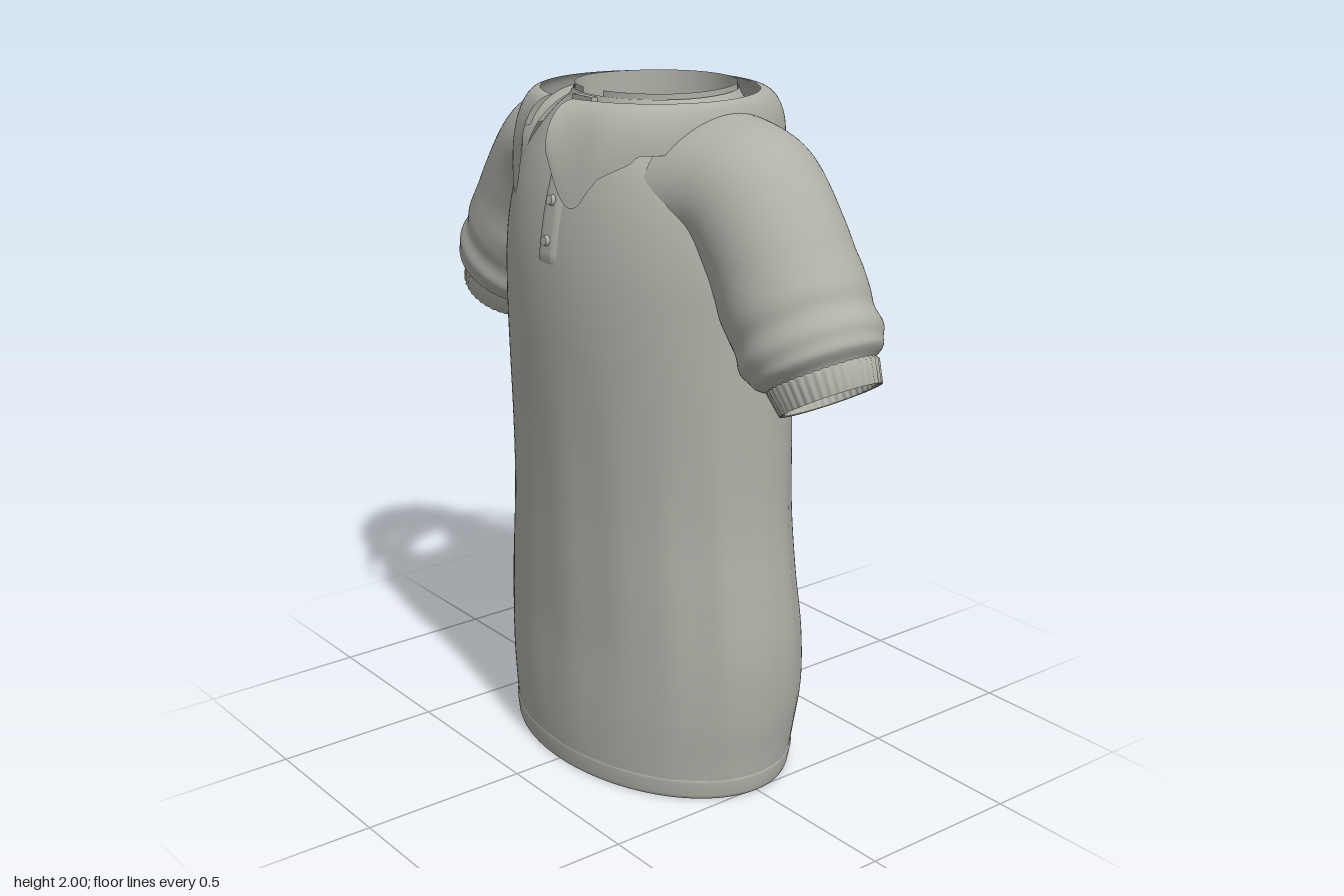
import * as THREE from 'three';

const cloth = new THREE.MeshStandardMaterial({ color: 0xb0b0a8, side: THREE.DoubleSide });
cloth.name = 'greyCloth';

// Smooth surface from a grid of points; keep() can leave out cells to make openings
function grid(name, rows, cols, closed, fn, keep = () => true) {
  const w = closed ? cols : cols + 1, pos = [], idx = [];
  for (let i = 0; i <= rows; i++) for (let j = 0; j < w; j++) pos.push(...fn(i / rows, j / cols));
  const at = k => new THREE.Vector3().fromArray(pos, k * 3);
  for (let i = 0; i < rows; i++) for (let j = 0; j < cols; j++) {
    const k = (j + 1) % w;
    const a = i * w + j, b = i * w + k, c = a + w, d = b + w;
    const mid = at(a).add(at(b)).add(at(c)).add(at(d)).multiplyScalar(0.25);
    if (keep(mid)) idx.push(a, b, d, a, d, c);
  }
  const g = new THREE.BufferGeometry();
  g.setAttribute('position', new THREE.Float32BufferAttribute(pos, 3));
  g.setIndex(idx);
  g.computeVertexNormals();
  const mesh = new THREE.Mesh(g, cloth);
  mesh.name = name;
  return mesh;
}

// Smooth interpolation through rows of numbers, u in 0..1
function spline(rows) {
  const n = rows.length - 1;
  return u => {
    const f = Math.min(Math.max(u, 0), 1) * n, i = Math.min(Math.floor(f), n - 1), t = f - i;
    const r = k => rows[Math.min(Math.max(k, 0), n)];
    return rows[0].map((_, c) => {
      const [p, q, s, v] = [r(i - 1)[c], r(i)[c], r(i + 1)[c], r(i + 2)[c]];
      return q + 0.5 * t * (s - p + t * (2 * p - 5 * q + 4 * s - v + t * (3 * (q - s) + v - p)));
    });
  };
}

// Piecewise linear lookup in [x, y] pairs
function lookup(table, x) {
  if (x <= table[0][0]) return table[0][1];
  for (let i = 1; i < table.length; i++) {
    const [x0, y0] = table[i - 1], [x1, y1] = table[i];
    if (x <= x1) return y0 + (y1 - y0) * (x - x0) / (x1 - x0);
  }
  return table[table.length - 1][1];
}

// Torso sections: height, half width, front depth, back depth
const torso = spline([
  [0.01, 0.508, 0.345, 0.345], [0.12, 0.522, 0.35, 0.372], [0.25, 0.54, 0.35, 0.39],
  [0.42, 0.547, 0.345, 0.375], [0.6, 0.532, 0.345, 0.348], [0.8, 0.512, 0.345, 0.335],
  [1.0, 0.505, 0.35, 0.333], [1.2, 0.504, 0.358, 0.327], [1.4, 0.502, 0.364, 0.324],
  [1.55, 0.5, 0.358, 0.322], [1.68, 0.48, 0.338, 0.324], [1.78, 0.44, 0.31, 0.32],
  [1.86, 0.375, 0.275, 0.305], [1.92, 0.31, 0.24, 0.285], [1.955, 0.26, 0.215, 0.268],
  [1.985, 0.233, 0.203, 0.26],
]);
const torsoRings = Array.from({ length: 121 }, (_, i) => torso(i / 120));
const ringAt = y => [0, 1, 2, 3].map(c => lookup(torsoRings.map(r => [r[0], r[c]]), y));

// Sleeve sections: centre x, centre y, tilt in degrees, radius across, radius in depth
const sleeve = spline([
  [0.27, 1.75, 88, 0.205, 0.25], [0.35, 1.753, 80, 0.2, 0.225], [0.44, 1.725, 55, 0.2, 0.205],
  [0.53, 1.62, 34, 0.198, 0.196], [0.57, 1.555, 31, 0.2, 0.196], [0.605, 1.495, 30, 0.205, 0.2],
  [0.64, 1.44, 30, 0.197, 0.193], [0.675, 1.385, 30, 0.2, 0.197], [0.7, 1.345, 30, 0.186, 0.183],
  [0.718, 1.318, 30, 0.15, 0.15],
]);
const sleeveRings = Array.from({ length: 91 }, (_, i) => sleeve(i / 90));
function aroundSleeve([cx, cy, deg, rn, rz], p, grow = 0) {
  const a = deg * Math.PI / 180, c = Math.cos(p);
  return [cx + Math.cos(a) * (rn + grow) * c, cy + Math.sin(a) * (rn + grow) * c,
    -0.01 + (rz + grow) * Math.sin(p)];
}

const insideTorso = p => {
  if (p.y > 1.97) return false;
  const [, a, f, b] = ringAt(p.y);
  return (p.x / a) ** 2 + (p.z / (p.z > 0 ? f : b)) ** 2 < 0.86;
};
const insideSleeve = p => sleeveRings.some(([cx, cy, deg, rn, rz]) => {
  const a = deg * Math.PI / 180, dx = Math.abs(p.x) - cx, dy = p.y - cy;
  const across = dx * Math.cos(a) + dy * Math.sin(a), along = dx * Math.sin(a) - dy * Math.cos(a);
  return Math.abs(along) < 0.012 && (across / rn) ** 2 + ((p.z + 0.01) / rz) ** 2 < 0.86;
});

function around([y, a, f, b], t, s = 1) {
  const c = Math.cos(t);
  return [a * s * Math.sin(t), y, (c > 0 ? f : b) * s * c];
}

export function createModel() {
  const shirt = new THREE.Group();
  shirt.name = 'poloShirt';
  const TAU = Math.PI * 2;

  // Torso with soft vertical folds and open armholes
  shirt.add(grid('torso', 120, 144, true, (u, v) => {
    const r = torso(u), t = v * TAU;
    const fold = Math.sin(Math.PI * Math.min(r[0] / 1.3, 1)) * 0.004;
    return around(r, t, 1 + fold * (Math.sin(11 * t + r[0]) + Math.sin(17 * t) - 1));
  }, p => !insideSleeve(p)));

  // Bottom hem, turned to the inside
  const hem = [[0.07, 0.972], [0.012, 0.975], [0.002, 0.985], [0.002, 0.998], [0.012, 1.006], [0.055, 1.008], [0.062, 0.999]];
  shirt.add(grid('bottomHem', hem.length - 1, 144, true, (u, v) => {
    const [y, s] = hem[Math.round(u * (hem.length - 1))];
    const r = ringAt(Math.max(y, 0.01));
    return around([y, r[1], r[2], r[3]], v * TAU, s);
  }));

  // Sleeves and ribbed cuffs
  const cuff = [[0.716, 1.322, 30, 0.148, 0.148], [0.726, 1.315, 30, 0.155, 0.152], [0.758, 1.259, 30, 0.142, 0.14],
    [0.756, 1.262, 30, 0.13, 0.128], [0.722, 1.318, 30, 0.136, 0.134]];
  for (const side of [1, -1]) {
    const arm = new THREE.Group();
    arm.name = side > 0 ? 'leftArm' : 'rightArm';
    arm.add(grid('sleeve', 90, 96, true, (u, v) => {
      const p = v * TAU, crease = 0.006 * Math.max(0, u - 0.4) * Math.sin(u * 42 + 2 * Math.sin(p + 1));
      return aroundSleeve(sleeve(u), p, crease);
    }, p => !insideTorso(p)));
    arm.add(grid('cuff', cuff.length - 1, 160, true, (u, v) =>
      aroundSleeve(cuff[Math.round(u * (cuff.length - 1))], v * TAU, 0.002 * Math.sin(v * TAU * 40))));
    arm.scale.x = side;
    shirt.add(arm);
  }

  // Upright neck band, split at the front
  const notch = 0.2;
  shirt.add(grid('neckBand', 6, 96, false, (u, v) => {
    const t = notch + v * (TAU - 2 * notch);
    return around([1.9 + 0.1 * u, 0.228, 0.2, 0.256], t);
  }));

  // Folded collar with two pointed leaves
  const collarEdge = [[0.05, 1.87], [0.07, 1.81], [0.09, 1.755], [0.11, 1.722], [0.13, 1.71], [0.15, 1.718],
    [0.175, 1.76], [0.2, 1.797], [0.235, 1.82], [0.262, 1.838], [0.275, 1.86]];
  const gap = 0.15;
  shirt.add(grid('collar', 16, 200, false, (u, v) => {
    const t = gap + v * (TAU - 2 * gap), q = (1 - u) * Math.PI / 2, out = Math.sin(q);
    const x = 0.355 * Math.abs(Math.sin(t));
    const low = Math.cos(t) > 0 ? lookup(collarEdge, x) : 1.86;
    const z = 0.3 + 0.1 * out;
    return around([low + (1.988 - low) * Math.cos(q), 0.318 + 0.037 * out, z, z], t);
  }));

  // Button placket following the chest
  const chest = y => ringAt(y)[2];
  shirt.add(grid('placket', 24, 6, false, (u, v) => {
    const y = 1.53 + 0.42 * u, x = (v - 0.5) * 0.09, rim = v === 0 || v === 1 || u === 0;
    return [x, y, chest(y) * Math.sqrt(1 - (x / 0.45) ** 2) + (rim ? -0.003 : 0.007)];
  }));
  const tab = new THREE.Mesh(new THREE.BoxGeometry(0.09, 0.045, 0.02), cloth);
  tab.name = 'collarTab';
  tab.position.set(0, 1.962, 0.225);
  shirt.add(tab);

  // Buttons
  for (const y of [1.6, 1.71, 1.81]) {
    const button = new THREE.Mesh(new THREE.CylinderGeometry(0.013, 0.016, 0.014, 20), cloth);
    button.name = 'button';
    const slope = (chest(y + 0.02) - chest(y - 0.02)) / 0.04;
    button.rotation.x = Math.PI / 2 + Math.atan(slope);
    button.position.set(0, y, chest(y) + 0.011);
    shirt.add(button);
  }
  return shirt;
}
